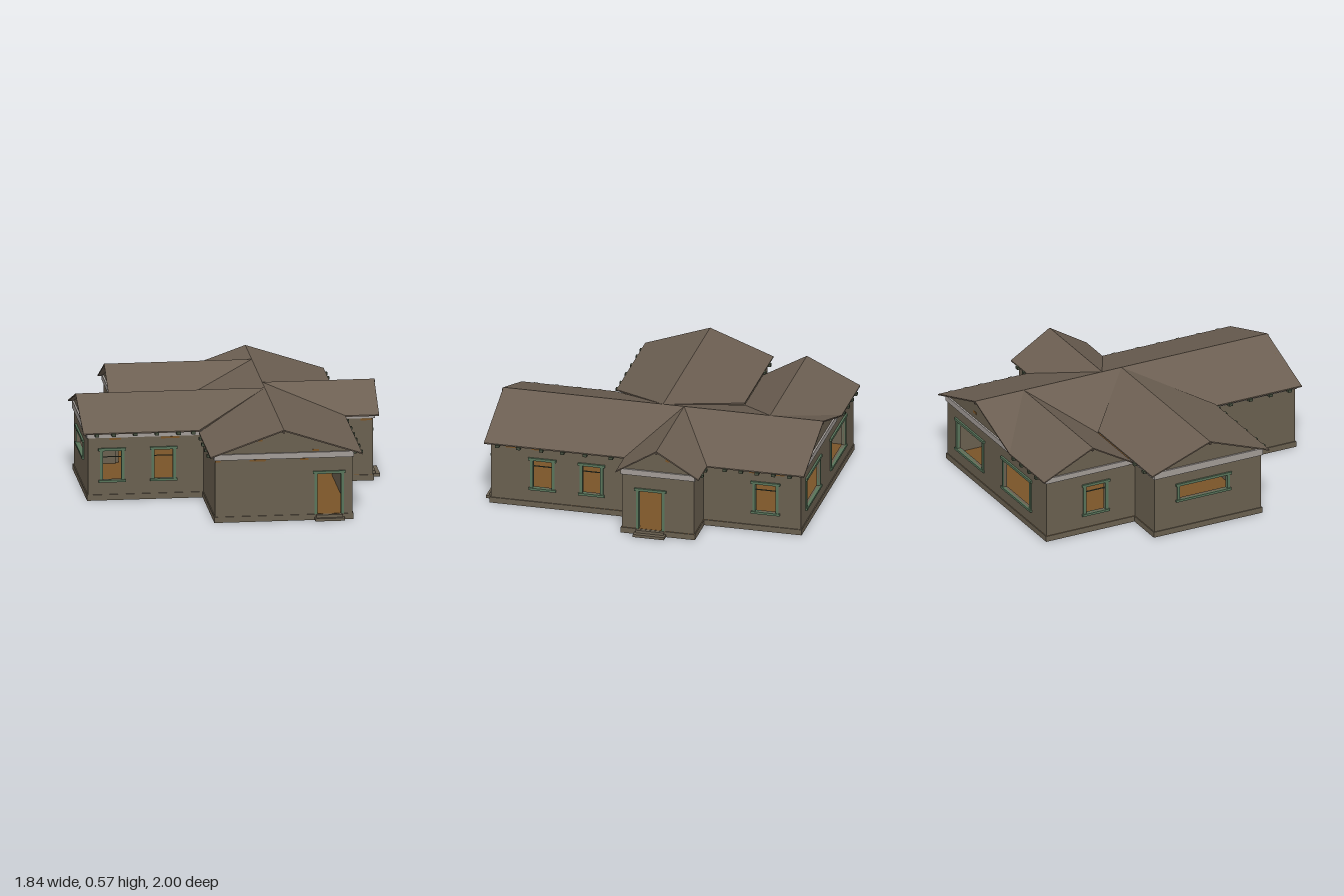
import * as THREE from 'three';

const mat = (name, color) => {
  const m = new THREE.MeshStandardMaterial({ color });
  m.name = name;
  return m;
};

export function createModel() {
  const wallMat = mat('wall', 0x6a6050);
  const roofMat = mat('roof', 0x6c5f52);
  const trimMat = mat('greenTrim', 0x58745a);
  const friezeMat = mat('frieze', 0xa29c97);
  const woodMat = mat('wood', 0x7a5428);
  const floorMat = mat('floorUnderside', 0x61442a);
  const tailMat = mat('rafterTail', 0x47503f);

  const house = new THREE.Group();
  house.name = 'house';

  const add = (parent, name, geo, material) => {
    const m = new THREE.Mesh(geo, material);
    m.name = name;
    parent.add(m);
    return m;
  };
  // Box given by its min and max corners
  const box = (parent, name, material, x0, x1, y0, y1, z0, z1) => {
    const m = add(parent, name, new THREE.BoxGeometry(x1 - x0, y1 - y0, z1 - z0), material);
    m.position.set((x0 + x1) / 2, (y0 + y1) / 2, (z0 + z1) / 2);
  };
  const shapeOf = (pts) => new THREE.Shape(pts.map(([x, y]) => new THREE.Vector2(x, y)));
  const extrude = (shape, depth) => new THREE.ExtrudeGeometry(shape, { depth, bevelEnabled: false });

  // Walls run anticlockwise seen from above: start corner, openings [s0, s1, y0, y1],
  // gable [s0, s1, apex, shoulder height] and bare wood patches [s0, s1, y0, y1]
  const LO = 0.125, HI = 0.305, SILL = 0.035, DOOR = 0.285, P0 = 0.371, P1 = 0.382;
  const walls = [
    { name: 'frontWall', at: [-0.185, 0.955], holes: [[0.615, 0.755, SILL, DOOR]], gable: [0, 0.825, 0.41, 0.421],
      patches: [[0, 0.03, P0, P1], [0.205, 0.305, P0, P1], [0.51, 0.56, P0, P1], [0.245, 0.285, 0.495, 0.51], [0.585, 0.625, 0.425, 0.436]] },
    { name: 'rightFrontWall', at: [0.64, 0.955], holes: [[0.26, 0.375, LO, HI], [0.565, 0.675, LO, HI]],
      patches: [[0.09, 0.16, P0, P1], [0.25, 0.31, P0, P1]] },
    { name: 'porchFrontWall', at: [0.64, 0.09], patches: [[0.03, 0.06, P0, P1], [0.15, 0.22, P0, P1]] },
    { name: 'porchEndWall', at: [0.865, 0.09], holes: [[0.105, 0.245, SILL, DOOR]], gable: [0, 0.445, 0.22, 0.422],
      patches: [[0.27, 0.31, 0.49, 0.51]] },
    { name: 'porchBackWall', at: [0.865, -0.355] },
    { name: 'rightBackWall', at: [0.64, -0.355], holes: [[0.32, 0.445, LO, HI]],
      patches: [[0.28, 0.34, P0, P1], [0.44, 0.5, P0, P1]] },
    { name: 'backWall', at: [0.64, -0.955], holes: [[0.135, 0.45, LO, HI], [0.725, 1.055, LO, HI]], gable: [0, 0.825, 0.415, 0.421],
      patches: [[0.33, 0.37, 0.45, 0.465]] },
    { name: 'backWingEndWall', at: [-0.63, -0.955], holes: [[0.265, 0.395, LO, HI]], gable: [0, 0.545, 0.295, 0.42] },
    { name: 'sideWingBackWall', at: [-0.63, -0.36], top: 0.424 },
    { name: 'sideWingEndWall', at: [-0.88, -0.36], holes: [[0.17, 0.49, 0.215, HI]], gable: [0, 0.72, 0.36, 0.43] },
    { name: 'sideWingFrontWall', at: [-0.88, 0.36], holes: [[0.09, 0.2, LO, HI], [0.4, 0.51, LO, HI]], top: 0.424,
      patches: [[0.13, 0.2, P0, P1], [0.44, 0.55, P0, P1]] },
    { name: 'leftFrontWall', at: [-0.185, 0.36] },
  ];

  // Casing, header, sill and sash bar of one opening
  const casing = (g, [a, b, c, d]) => {
    const w = 0.018, z0 = -0.014, z1 = 0.006;
    box(g, 'leftCasing', trimMat, a - w, a, c, d, z0, z1);
    box(g, 'rightCasing', trimMat, b, b + w, c, d, z0, z1);
    box(g, 'header', trimMat, a - w - 0.01, b + w + 0.01, d, d + 0.016, z0, z1 + 0.006);
    if (c === SILL) return;
    box(g, 'sill', trimMat, a - w - 0.008, b + w + 0.008, c - 0.014, c, z0, z1 + 0.006);
    if (b - a < 0.2) box(g, 'sashBar', tailMat, a, b, 0.263, 0.267, -0.012, -0.004);
  };

  walls.forEach(({ name, at, holes = [], gable, patches = [], top = 0.411 }, i) => {
    const end = walls[(i + 1) % walls.length].at;
    const dx = end[0] - at[0], dz = end[1] - at[1];
    const L = Math.hypot(dx, dz);
    const g = new THREE.Group();
    g.name = name;
    g.position.set(at[0], 0, at[1]);
    g.rotation.y = Math.atan2(-dz, dx);
    house.add(g);

    const sheet = shapeOf([[0, 0.03], [L, 0.03], [L, top], [0, top]]);
    for (const [a, b, c, d] of holes) sheet.holes.push(shapeOf([[a, c], [a, d], [b, d], [b, c]]));
    add(g, 'wallSheet', extrude(sheet, 0.02), wallMat).position.z = -0.02;
    box(g, 'plinth', wallMat, -0.006, L + 0.006, 0, 0.035, -0.012, 0.006);
    box(g, 'frieze', friezeMat, -0.008, L + 0.008, 0.386, top - 0.002, -0.01, 0.008);
    if (gable) {
      const [s0, s1, apex, h] = gable;
      const peak = shapeOf([[s0, 0.4], [s1, 0.4], [s1, h], [apex, 0.562], [s0, h]]);
      add(g, 'gable', extrude(peak, 0.02), wallMat).position.z = -0.02;
      box(g, 'gableFrieze', friezeMat, s0 - 0.006, s1 + 0.006, 0.385, h - 0.001, -0.01, 0.011);
    }
    holes.forEach((h) => casing(g, h));
    patches.forEach(([a, b, c, d]) => box(g, 'woodPatch', woodMat, a, b, c, d, -0.002, 0.0015));
  });

  // Raised floor: boards over a dark underside
  const plan = shapeOf(walls.map((w) => [w.at[0], -w.at[1]]));
  [['floorUnderside', 0.03, floorMat], ['floorBoards', 0.033, woodMat]].forEach(([name, y, m]) => {
    const geo = extrude(plan, 0.003);
    geo.rotateX(-Math.PI / 2);
    add(house, name, geo, m).position.y = y;
  });

  // Roof: each slope is a thin slab over an outline of [x, z, height]
  const R = 0.567, E = 0.411, S = 0.423, T = 0.008;
  const slope = (name, outline) => {
    const pts = outline.map(([x, z, y]) => new THREE.Vector3(x, y, z));
    const n = new THREE.Vector3().crossVectors(pts[1].clone().sub(pts[0]), pts[2].clone().sub(pts[0]));
    if (n.y < 0) pts.reverse();
    const low = pts.map((p) => p.clone().setY(p.y - T));
    const v = [];
    const tri = (...ps) => ps.forEach((p) => v.push(p.x, p.y, p.z));
    for (let i = 0; i < pts.length; i++) {
      const j = (i + 1) % pts.length;
      if (i > 0 && j > 0) {
        tri(pts[0], pts[i], pts[j]);
        tri(low[0], low[j], low[i]);
      }
      tri(pts[i], low[i], low[j]);
      tri(pts[i], low[j], pts[j]);
    }
    const geo = new THREE.BufferGeometry();
    geo.setAttribute('position', new THREE.Float32BufferAttribute(v, 3));
    geo.computeVertexNormals();
    add(house, name, geo, roofMat);
  };
  const X = 0.225, XL = -0.217, XR = 0.696, XP = 0.899, ZB = -0.988, ZF = 0.984;
  const porch = [X, -0.13, R], side = [X, 0, R], back = [X, -0.66, R];
  slope('mainRoofRightBack', [[X, ZB, R], porch, [XR, -0.39, E], [XR, ZB, E]]);
  slope('mainRoofRightFront', [porch, [X, ZF, R], [XR, ZF, E], [XR, 0.12, E]]);
  slope('mainRoofLeftBack', [[X, ZB, R], back, [XL, ZB, E]]);
  slope('mainRoofLeftMiddle', [back, side, [XL, -0.39, E]]);
  slope('mainRoofLeftFront', [side, [X, ZF, R], [XL, ZF, E], [XL, 0.4, E]]);
  slope('porchRoofBack', [porch, [XP, -0.13, R], [XP, -0.39, E], [XR, -0.39, E]]);
  slope('porchRoofFront', [porch, [XP, -0.13, R], [XP, 0.12, E], [XR, 0.12, E]]);
  slope('sideWingRoofBack', [[-0.912, 0, R], side, [XL, -0.39, S], [-0.912, -0.39, S]]);
  slope('sideWingRoofFront', [[-0.912, 0, R], side, [XL, 0.4, S], [-0.912, 0.4, S]]);
  slope('backWingRoofBack', [[-0.662, -0.66, R], back, [XL, ZB, E], [-0.662, ZB, E]]);
  slope('backWingRoofFront', [[-0.662, -0.66, R], back, [XL, -0.39, E], [-0.662, -0.39, E]]);

  // Rafter tails under the eaves
  const W = 0.012;
  const tail = (eave, x0, x1, z0, z1) => box(house, 'rafterTail', tailMat, x0, x1, eave - 0.02, eave - 0.003, z0, z1);
  [-0.9, -0.8, -0.7, -0.6, -0.5, 0.2, 0.36, 0.5, 0.63, 0.77, 0.9].forEach((z) => tail(E, 0.64, 0.708, z - W, z + W));
  [0.5, 0.635, 0.77, 0.9].forEach((z) => tail(E, -0.23, -0.185, z - W, z + W));
  [-0.83, -0.73, -0.6, -0.47, -0.34, -0.25].forEach((x) => tail(S, x - W, x + W, 0.36, 0.411));
  [-0.56, -0.47, -0.37, -0.27].forEach((x) => tail(E, x - W, x + W, -0.997, -0.955));
  [-0.81, -0.69].forEach((x) => tail(S, x - W, x + W, -0.402, -0.36));
  [0.73, 0.81].forEach((x) => tail(E, x - W, x + W, -0.4, -0.355));

  // Ridge beam ends under the gable peaks
  const beam = (x0, x1, z0, z1) => box(house, 'ridgeBeam', roofMat, x0, x1, 0.548, 0.561, z0, z1);
  beam(X - 0.006, X + 0.006, 0.94, 0.99);
  beam(X - 0.006, X + 0.006, -0.99, -0.94);
  beam(0.85, 0.902, -0.136, -0.124);
  beam(-0.918, -0.87, -0.006, 0.006);
  beam(-0.667, -0.62, -0.666, -0.654);

  // Door steps
  box(house, 'frontLowerStep', wallMat, 0.412, 0.59, 0, 0.017, 0.955, 0.998);
  box(house, 'frontUpperStep', wallMat, 0.42, 0.58, 0.017, 0.034, 0.955, 0.978);
  box(house, 'porchLowerStep', wallMat, 0.865, 0.918, 0, 0.017, -0.182, 0.01);
  box(house, 'porchUpperStep', wallMat, 0.865, 0.89, 0.017, 0.034, -0.172, 0);

  return house;
}
